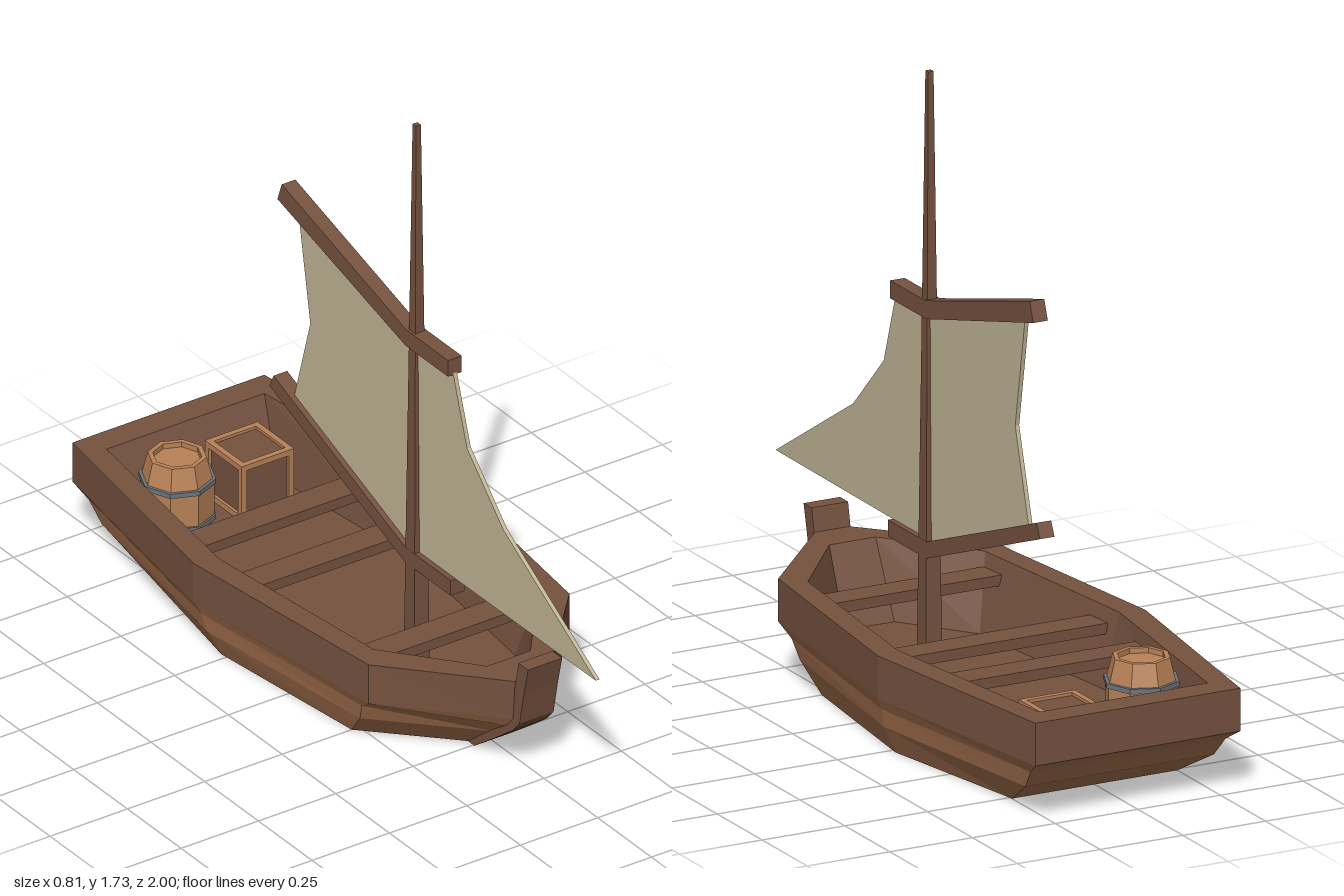
import * as THREE from 'three';

const mat = (color, double) => new THREE.MeshStandardMaterial({
  color, flatShading: true, side: double ? THREE.DoubleSide : THREE.FrontSide });
const darkWood = mat(0x76523f), lightWood = mat(0xa87350), paleWood = mat(0xb98258);
const canvas = mat(0xc2b696, true), iron = mat(0x6f757a);

function add(parent, name, geometry, material, x = 0, y = 0, z = 0) {
  const mesh = new THREE.Mesh(geometry, material);
  mesh.name = name;
  mesh.position.set(x, y, z);
  parent.add(mesh);
  return mesh;
}
const box = (parent, name, w, h, d, material, x, y, z) =>
  add(parent, name, new THREE.BoxGeometry(w, h, d), material, x, y, z);

// Full ring from the left half outline: stern, beam, shoulder, bow as [x, z]
function ring(y, half) {
  const left = half.map(([x, z]) => [x, y, z]);
  const right = half.map(([x, z]) => [-x, y, z]).reverse();
  return [...left, ...right];
}

// Skin between consecutive rings, with optional flat caps
function loft(rings, capFirst, capLast) {
  const pos = [];
  const tri = (...corners) => corners.forEach(c => pos.push(...c));
  const n = rings[0].length;
  for (let r = 0; r < rings.length - 1; r++) {
    for (let i = 0; i < n; i++) {
      const j = (i + 1) % n, a = rings[r], b = rings[r + 1];
      tri(a[i], b[i], b[j]);
      tri(a[i], b[j], a[j]);
    }
  }
  for (let i = 1; i < n - 1; i++) {
    const f = rings[0], l = rings[rings.length - 1];
    if (capFirst) tri(f[0], f[i], f[i + 1]);
    if (capLast) tri(l[0], l[i + 1], l[i]);
  }
  const geometry = new THREE.BufferGeometry();
  geometry.setAttribute('position', new THREE.Float32BufferAttribute(pos, 3));
  geometry.computeVertexNormals();
  return geometry;
}

// Side profile of [z, y] points given a thickness across x
function sideExtrude(points, width) {
  const shape = new THREE.Shape(points.map(([z, y]) => new THREE.Vector2(-z, y)));
  const geometry = new THREE.ExtrudeGeometry(shape, { depth: width, bevelEnabled: false });
  geometry.translate(0, 0, -width / 2);
  geometry.rotateY(Math.PI / 2);
  return geometry;
}

function buildHull(boat) {
  const hull = new THREE.Group();
  hull.name = 'hull';
  boat.add(hull);
  const waist = [[0.31, -1], [0.405, -0.3], [0.325, 0.4], [0.05, 0.69]];
  // Planked lower body
  add(hull, 'lowerHull', loft([
    ring(0, [[0.25, -0.76], [0.335, -0.27], [0.275, 0.25], [0.04, 0.49]]),
    ring(0.08, [[0.285, -0.9], [0.375, -0.28], [0.3, 0.325], [0.045, 0.585]]),
    ring(0.135, [[0.295, -0.945], [0.388, -0.29], [0.312, 0.35], [0.048, 0.66]]),
    ring(0.17, waist),
  ], true, false), lightWood);
  // Upper strake, rim, inner walls and floor
  add(hull, 'gunwaleAndFloor', loft([
    ring(0.17, waist),
    ring(0.29, [[0.31, -1], [0.405, -0.3], [0.325, 0.4], [0.05, 0.7]]),
    ring(0.29, [[0.255, -0.92], [0.335, -0.28], [0.268, 0.34], [0.07, 0.585]]),
    ring(0.08, [[0.235, -0.83], [0.29, -0.28], [0.225, 0.29], [0.075, 0.49]]),
  ], false, true), darkWood);
  // Stem post
  add(hull, 'stemPost', sideExtrude([
    [0.755, 0.355], [0.735, 0.27], [0.715, 0.17], [0.685, 0.135], [0.6, 0.07], [0.505, 0],
    [0.44, 0], [0.57, 0.09], [0.66, 0.17], [0.695, 0.28], [0.71, 0.355],
  ], 0.11), darkWood);
  // Rowing benches: [z, width]
  for (const [z, w] of [[-0.455, 0.63], [-0.2, 0.65], [0.292, 0.54]])
    box(hull, 'bench', w, 0.03, 0.085, darkWood, 0, 0.235, z);
}

function buildRig(boat) {
  const rig = new THREE.Group();
  rig.name = 'rig';
  boat.add(rig);
  // Tapered square mast
  const mast = new THREE.CylinderGeometry(0.008 * Math.SQRT2, 0.025 * Math.SQRT2, 1.65, 4);
  mast.rotateY(Math.PI / 4);
  add(rig, 'mast', mast, darkWood, 0, 0.905, 0.157);
  // Spars: level ahead of the mast, raised behind it
  add(rig, 'upperSpar', sideExtrude([
    [0.335, 1.045], [0.335, 1.095], [0.14, 1.095], [-0.44, 1.262], [-0.46, 1.207], [0.135, 1.045],
  ], 0.044), darkWood);
  add(rig, 'lowerSpar', sideExtrude([
    [0.347, 0.375], [0.347, 0.422], [0.135, 0.422], [-0.478, 0.653], [-0.497, 0.613], [0.135, 0.375],
  ], 0.044), darkWood);
  // Sail reaching forward to a point
  add(rig, 'sail', sideExtrude([
    [1, 0.425], [0.57, 0.68], [0.4, 0.85], [0.335, 1.05], [0.14, 1.05],
    [-0.385, 1.195], [-0.33, 0.88], [-0.405, 0.62], [0.13, 0.42],
  ], 0.012), canvas);
}

function buildBarrel(boat) {
  const barrel = new THREE.Group();
  barrel.name = 'barrel';
  barrel.position.set(-0.155, 0.08, -0.735);
  boat.add(barrel);
  const profile = [[0, 0], [0.08, 0], [0.1, 0.08], [0.1, 0.17], [0.08, 0.25], [0.066, 0.25], [0.066, 0.235], [0, 0.235]];
  add(barrel, 'staves', new THREE.LatheGeometry(profile.map(p => new THREE.Vector2(...p)), 8), paleWood);
  for (const y of [0.07, 0.18])
    add(barrel, 'hoop', new THREE.CylinderGeometry(0.105, 0.105, 0.014, 8), iron, 0, y, 0);
}

function buildCrate(boat) {
  const crate = new THREE.Group();
  crate.name = 'crate';
  crate.position.set(0.11, 0.165, -0.78);
  boat.add(crate);
  const s = 0.17, t = 0.017, e = (s - t) / 2;
  box(crate, 'panels', s - t, s - t, s - t, darkWood, 0, 0, 0);
  // Edge battens along each axis
  for (const a of [-e, e]) for (const b of [-e, e]) {
    box(crate, 'batten', s, t, t, paleWood, 0, a, b);
    box(crate, 'batten', t, s, t, paleWood, a, 0, b);
    box(crate, 'batten', t, t, s, paleWood, a, b, 0);
  }
}

export function createModel() {
  const boat = new THREE.Group();
  boat.name = 'sailingBoat';
  buildHull(boat);
  buildRig(boat);
  buildBarrel(boat);
  buildCrate(boat);
  return boat;
}
